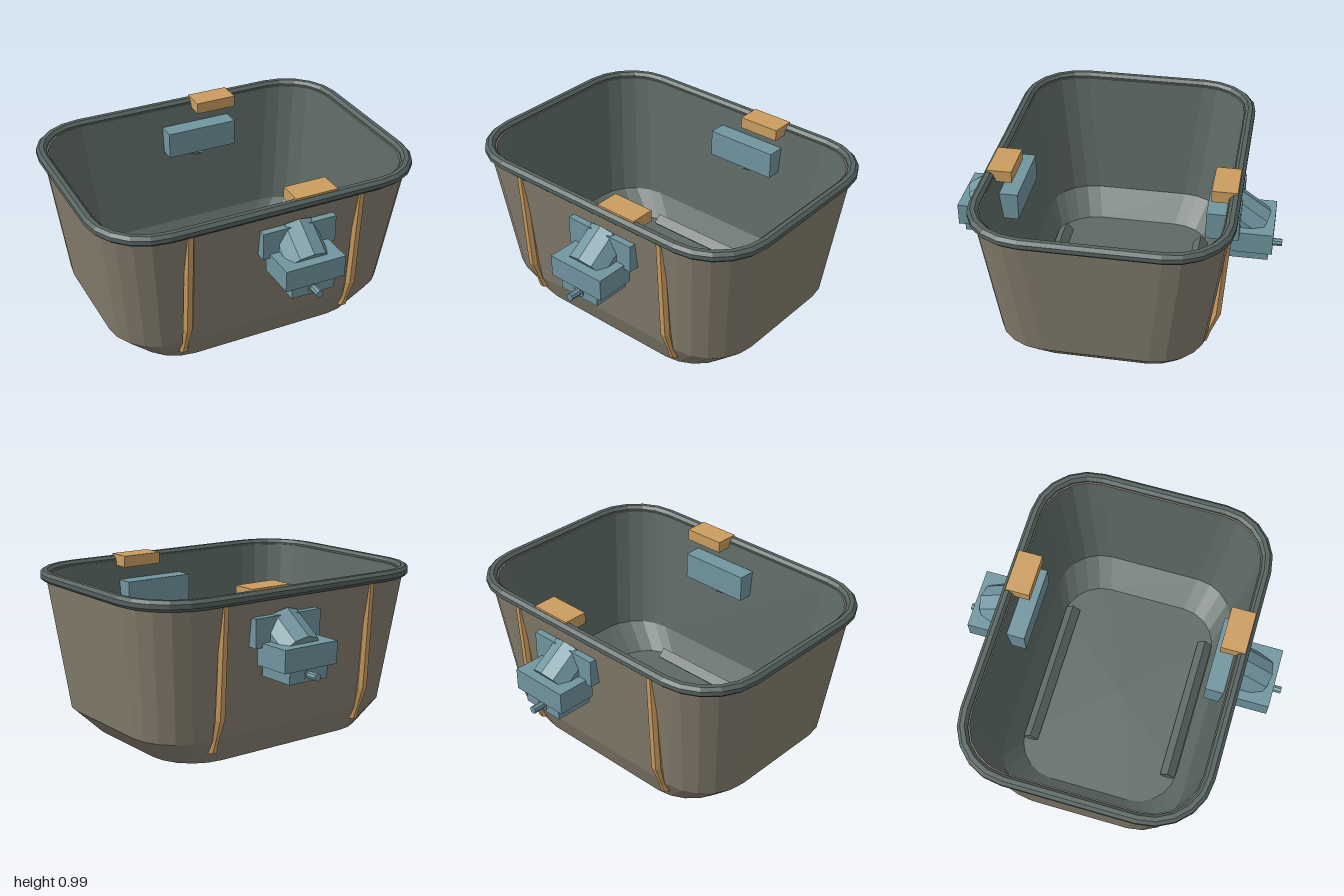
import * as THREE from 'three';

const mat = (name, color) => {
  const m = new THREE.MeshStandardMaterial({ color, flatShading: true });
  m.name = name;
  return m;
};

// Rounded rectangle ring in the xz plane, five segments per corner
function rectRing(hx, hz, r, y) {
  const pts = [];
  [[1, 1], [-1, 1], [-1, -1], [1, -1]].forEach(([sx, sz], q) => {
    for (let i = 0; i <= 5; i++) {
      const a = (q + i / 5) * Math.PI / 2;
      pts.push([sx * (hx - r) + r * Math.cos(a), y, sz * (hz - r) + r * Math.sin(a)]);
    }
  });
  return pts;
}

// Regular polygon ring in the xz plane
function polyRing(x, y, z, rx, rz, n) {
  return Array.from({ length: n }, (_, i) => {
    const a = i / n * Math.PI * 2;
    return [x + rx * Math.cos(a), y, z + rz * Math.sin(a)];
  });
}

// Skin through a list of rings with equal point counts
function loft(rings) {
  const n = rings[0].length, pos = [];
  for (let k = 0; k < rings.length - 1; k++) {
    const a = rings[k], b = rings[k + 1];
    for (let i = 0; i < n; i++) {
      const j = (i + 1) % n;
      pos.push(...a[i], ...b[i], ...a[j], ...a[j], ...b[i], ...b[j]);
    }
  }
  const g = new THREE.BufferGeometry();
  g.setAttribute('position', new THREE.Float32BufferAttribute(pos, 3));
  g.computeVertexNormals();
  return g;
}

export function createModel() {
  const model = new THREE.Group();
  model.name = 'tub';
  const shellMat = mat('taupe shell', 0x857d6d);
  const linerMat = mat('grey green lining', 0x5e6a66);
  const rimMat = mat('dark rim', 0x55625f);
  const latchMat = mat('blue grey metal', 0x71959f);
  const goldMat = mat('ochre', 0xcb9d60);

  const add = (parent, name, geo, material, x = 0, y = 0, z = 0) => {
    const m = new THREE.Mesh(geo, material);
    m.name = name;
    m.position.set(x, y, z);
    parent.add(m);
    return m;
  };
  // Box given by its limits; z limits are mirrored by s
  const box = (parent, name, material, [x0, x1], [y0, y1], [z0, z1], s) =>
    add(parent, name, new THREE.BoxGeometry(x1 - x0, y1 - y0, z1 - z0), material,
      (x0 + x1) / 2, (y0 + y1) / 2, s * (z0 + z1) / 2);

  // Outer shell with chamfered base and top lip
  add(model, 'outerShell', loft([
    rectRing(0, 0, 0, 0),
    rectRing(0.72, 0.55, 0.28, 0),
    rectRing(0.872, 0.605, 0.3, 0.15),
    rectRing(0.967, 0.71, 0.325, 0.95),
    rectRing(0.93, 0.668, 0.29, 0.95),
  ]), shellMat);

  // Inner lining
  add(model, 'innerLining', loft([
    rectRing(0.93, 0.668, 0.29, 0.95),
    rectRing(0.845, 0.575, 0.28, 0.17),
    rectRing(0.675, 0.5, 0.25, 0.03),
    rectRing(0, 0, 0, 0.03),
  ]), linerMat);

  // Rounded rim
  const rim = [];
  for (let i = 0; i <= 8; i++) {
    const a = (i + 0.5) / 8 * Math.PI * 2, r = 0.033;
    const o = r * Math.cos(a);
    rim.push(rectRing(0.97 + o, 0.705 + o, 0.325 + o, 0.948 + r * Math.sin(a)));
  }
  add(model, 'rim', loft(rim), rimMat);

  for (const s of [1, -1]) {
    const side = s > 0 ? 'front' : 'back';

    // Vertical ribs: [y, z, radius] from the foot up
    for (const x of [-0.525, 0.525]) {
      const rib = [[0.07, 0.575, 0], [0.07, 0.575, 0.03], [0.14, 0.605, 0.02],
        [0.28, 0.648, 0.032], [0.92, 0.69, 0.028], [0.92, 0.69, 0]];
      add(model, side + 'Rib', loft(rib.map(([y, z, r]) =>
        polyRing(x, y, s * z, r, r * 0.9, 6))), goldMat);
    }

    // Block on the rim
    box(model, side + 'RimBlock', goldMat, [0.1, 0.36], [0.92, 0.99], [0.57, 0.715], s);

    // Bar along the floor edge
    const bar = add(model, side + 'FloorBar', new THREE.BoxGeometry(0.93, 0.066, 0.066),
      linerMat, 0, 0.055, s * 0.45);
    bar.rotation.x = Math.PI / 4;

    // Latch assembly
    const latch = new THREE.Group();
    latch.name = side + 'Latch';
    model.add(latch);
    box(latch, 'mountingBlock', latchMat, [-0.107, 0.348], [0.665, 0.83], [0.545, 0.735], s);
    box(latch, 'latchBody', latchMat, [-0.065, 0.303], [0.56, 0.69], [0.69, 0.927], s);
    box(latch, 'latchFoot', latchMat, [-0.015, 0.252], [0.485, 0.56], [0.67, 0.905], s);
    const barrel = add(latch, 'slopedBarrel', new THREE.CylinderGeometry(0.135, 0.135, 0.22, 10),
      latchMat, 0.12, 0.688, s * 0.733);
    barrel.rotation.x = -s * 0.963;
    const pin = add(latch, 'pin', new THREE.CylinderGeometry(0.022, 0.022, 0.2, 8),
      latchMat, 0.118, 0.523, s * 0.88);
    pin.rotation.x = Math.PI / 2;
    const collar = add(latch, 'pinCollar', new THREE.CylinderGeometry(0.037, 0.037, 0.03, 6),
      latchMat, 0.118, 0.523, s * 0.895);
    collar.rotation.x = Math.PI / 2;
  }
  return model;
}
